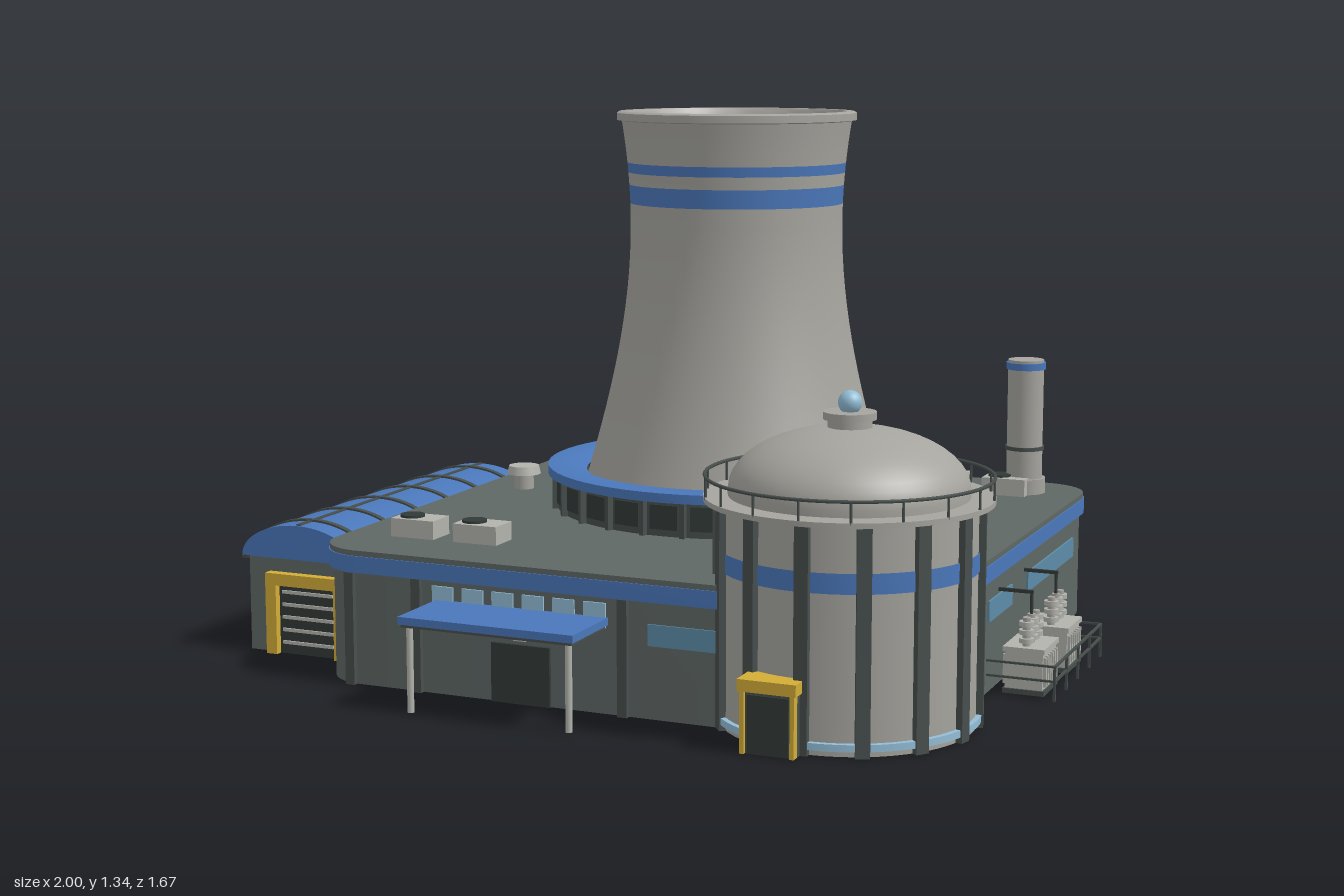
import * as THREE from 'three';
import { toCreasedNormals } from 'three/addons/utils/BufferGeometryUtils.js';

const mat = (name, color, extra = {}) => {
  const m = new THREE.MeshStandardMaterial({ color, ...extra });
  m.name = name;
  return m;
};

export function createModel() {
  const wall = mat('slate wall', 0x5f6866);
  const trim = mat('dark trim', 0x474f4d);
  const dark = mat('near black', 0x323a38);
  const concrete = mat('concrete', 0xa5a49e);
  const light = mat('light metal', 0xb3b3ad);
  const blue = mat('blue', 0x4a77ba);
  const glass = mat('window glass', 0x5c8ca8);
  const pale = mat('pale blue', 0x93bdd6);
  const yellow = mat('yellow', 0xd3ad37);

  const model = new THREE.Group();
  const group = (name, x = 0, y = 0, z = 0, parent = model) => {
    const g = new THREE.Group();
    g.name = name;
    g.position.set(x, y, z);
    parent.add(g);
    return g;
  };
  const add = (parent, name, geo, m, x = 0, y = 0, z = 0) => {
    const mesh = new THREE.Mesh(geo, m);
    mesh.name = name;
    mesh.position.set(x, y, z);
    parent.add(mesh);
    return mesh;
  };
  // box given by its extents
  const box = (p, name, m, x0, x1, y0, y1, z0, z1) =>
    add(p, name, new THREE.BoxGeometry(x1 - x0, y1 - y0, z1 - z0), m, (x0 + x1) / 2, (y0 + y1) / 2, (z0 + z1) / 2);
  // upright cylinder from y0 to y1
  const cyl = (p, name, m, r, y0, y1, x = 0, z = 0, seg = 24, rTop = r) =>
    add(p, name, new THREE.CylinderGeometry(rTop, r, y1 - y0, seg), m, x, (y0 + y1) / 2, z);
  const lathe = (p, name, m, pts, seg = 64) =>
    add(p, name, toCreasedNormals(new THREE.LatheGeometry(pts.map(a => new THREE.Vector2(a[0], a[1])), seg), 0.6), m);
  const tube = (p, name, m, r, ...pts) =>
    add(p, name, new THREE.TubeGeometry(new THREE.CatmullRomCurve3(pts.map(a => new THREE.Vector3(...a)), false, 'catmullrom', 0.2), 24, r, 12), m);
  const ring = (p, name, m, r, t, y) => {
    const g = new THREE.TorusGeometry(r, t, 6, 64);
    g.rotateX(Math.PI / 2);
    return add(p, name, g, m, 0, y, 0);
  };
  // slab with rounded corners
  const roundSlab = (p, name, m, inset, y0, y1) => {
    const x0 = -0.69 + inset, x1 = 0.84 - inset, a = -0.66 + inset, b = 0.84 - inset, r = 0.13 - inset;
    const s = new THREE.Shape();
    s.absarc(x1 - r, b - r, r, 0, Math.PI / 2);
    s.absarc(x0 + r, b - r, r, Math.PI / 2, Math.PI);
    s.absarc(x0 + r, a + r, r, Math.PI, Math.PI * 1.5);
    s.absarc(x1 - r, a + r, r, Math.PI * 1.5, Math.PI * 2);
    const g = new THREE.ExtrudeGeometry(s, { depth: y1 - y0, bevelEnabled: false, curveSegments: 10 });
    g.rotateX(-Math.PI / 2);
    return add(p, name, toCreasedNormals(g, 0.6), m, 0, y0, 0);
  };

  // Main building
  const hall = group('mainBuilding');
  roundSlab(hall, 'walls', wall, 0.012, 0, 0.275);
  roundSlab(hall, 'blueBand', blue, 0, 0.272, 0.312);
  roundSlab(hall, 'roof', wall, 0.003, 0.312, 0.325);
  for (let i = 0; i < 7; i++) {
    const x = -0.58 + i * 0.217;
    box(hall, 'backPilaster', trim, x - 0.014, x + 0.014, 0, 0.29, -0.842, -0.82);
    if (i < 6) box(hall, 'backWindow', glass, x + 0.035, x + 0.182, 0.17, 0.22, -0.832, -0.82);
  }
  for (const x of [-0.58, -0.4, 0.13]) box(hall, 'frontPilaster', trim, x - 0.012, x + 0.012, 0, 0.272, 0.64, 0.662);
  box(hall, 'frontWindow', glass, 0.19, 0.38, 0.17, 0.22, 0.64, 0.652);
  for (let i = 0; i < 6; i++) {
    const x = -0.36 + i * 0.078;
    box(hall, 'entranceWindow', pale, x, x + 0.055, 0.2, 0.258, 0.64, 0.653);
  }
  box(hall, 'rightWindow', glass, 0.82, 0.833, 0.17, 0.22, -0.06, 0.14);
  box(hall, 'rightWindow', glass, 0.82, 0.833, 0.17, 0.22, -0.65, -0.2);

  // Entrance with canopy
  const entrance = group('entrance');
  box(entrance, 'canopy', blue, -0.35, 0.09, 0.207, 0.225, 0.64, 0.83);
  box(entrance, 'canopyEdge', trim, -0.345, 0.085, 0.2, 0.207, 0.64, 0.825);
  for (const x of [-0.33, 0.07]) cyl(entrance, 'canopyPost', light, 0.008, 0, 0.2, x, 0.81, 10);
  box(entrance, 'door', dark, -0.205, -0.055, 0, 0.14, 0.64, 0.656);
  box(entrance, 'doorLamp', light, -0.145, -0.115, 0.15, 0.162, 0.64, 0.66);

  // Cooling tower: hyperbolic shell with painted bands
  const tower = group('coolingTower', 0.04, 0, -0.24);
  const radius = y => 0.27 * Math.sqrt(1 + ((y - 1.05) / 0.64) ** 2);
  const shell = (name, m, y0, y1, n) =>
    lathe(tower, name, m, Array.from({ length: n + 1 }, (_, i) => y0 + (y1 - y0) * i / n).map(y => [radius(y), y]));
  shell('lowerShell', concrete, 0.32, 1.105, 18);
  shell('wideBand', blue, 1.105, 1.152, 2);
  shell('middleShell', concrete, 1.152, 1.183, 2);
  shell('narrowBand', blue, 1.183, 1.208, 2);
  shell('upperShell', concrete, 1.208, 1.315, 4);
  lathe(tower, 'rim', concrete, [[0.29, 1.312], [0.304, 1.315], [0.304, 1.333], [0.298, 1.337], [0.278, 1.337], [0.272, 1.33], [0.262, 1.26], [0.258, 1.19]]);
  cyl(tower, 'shaftFloor', dark, 0.262, 1.19, 1.2, 0, 0, 48);

  // Air inlet ring around the tower foot
  lathe(tower, 'inletWall', trim, [[0.462, 0.32], [0.462, 0.415]]);
  lathe(tower, 'inletRoof', blue, [[0.415, 0.412], [0.485, 0.412], [0.485, 0.435], [0.415, 0.435], [0.385, 0.42]]);
  for (let i = 0; i < 28; i++) {
    const a = i * Math.PI / 14;
    const w = group('inletBay', 0, 0, 0, tower);
    w.rotation.y = a;
    box(w, 'inletOpening', dark, -0.036, 0.036, 0.342, 0.402, 0.455, 0.466);
    box(w, 'inletPost', trim, 0.045, 0.058, 0.325, 0.412, 0.45, 0.474);
  }

  // Reactor building with dome
  const reactor = group('reactor', 0.6, 0, 0.47);
  cyl(reactor, 'drum', concrete, 0.29, 0, 0.51, 0, 0, 64);
  lathe(reactor, 'drumBand', blue, [[0.293, 0.355], [0.293, 0.4]]);
  lathe(reactor, 'baseRing', pale, [[0.29, 0.014], [0.302, 0.014], [0.302, 0.03], [0.29, 0.03]]);
  for (let i = 0; i < 14; i++) {
    const b = group('buttress', 0, 0, 0, reactor);
    b.rotation.y = i * Math.PI / 7;
    box(b, 'buttressPost', trim, -0.016, 0.016, 0, 0.51, 0.27, 0.305);
  }
  lathe(reactor, 'platform', concrete, [[0.27, 0.503], [0.325, 0.503], [0.325, 0.515], [0.26, 0.515]]);
  const dome = Array.from({ length: 13 }, (_, i) => i * Math.PI / 24);
  lathe(reactor, 'dome', concrete, [[0.27, 0.51], ...dome.map(a => [0.27 * Math.cos(a), 0.53 + 0.14 * Math.sin(a)])]);
  cyl(reactor, 'domeCollar', concrete, 0.05, 0.655, 0.69, 0, 0, 32);
  cyl(reactor, 'domeCap', concrete, 0.06, 0.685, 0.702, 0, 0, 32);
  add(reactor, 'beacon', new THREE.SphereGeometry(0.027, 24, 16), pale, 0, 0.722, 0);
  ring(reactor, 'handrail', trim, 0.322, 0.004, 0.56);
  for (let i = 0; i < 18; i++) {
    const a = i * Math.PI / 9;
    cyl(reactor, 'railPost', trim, 0.003, 0.51, 0.56, 0.322 * Math.sin(a), 0.322 * Math.cos(a), 6);
  }
  const porch = group('reactorPorch');
  box(porch, 'porchBody', trim, 0.475, 0.6, 0, 0.15, 0.7, 0.8);
  box(porch, 'porchDoor', dark, 0.49, 0.585, 0, 0.13, 0.795, 0.804);
  box(porch, 'porchLintel', yellow, 0.47, 0.605, 0.138, 0.165, 0.73, 0.813);
  for (const x of [0.475, 0.59]) box(porch, 'porchJamb', yellow, x, x + 0.01, 0, 0.14, 0.79, 0.81);

  // Pipes linking tower and reactor
  const pipes = group('pipes');
  tube(pipes, 'steamPipe', concrete, 0.024, [0.32, 0.46, 0], [0.4, 0.46, 0.06], [0.47, 0.46, 0.12], [0.49, 0.46, 0.22]);
  tube(pipes, 'returnPipe', concrete, 0.022, [0.34, 0.39, 0.06], [0.43, 0.39, 0.1], [0.48, 0.39, 0.15], [0.5, 0.39, 0.22]);
  for (const [x, z] of [[0.48, 0.08], [0.48, 0.13], [0.39, 0.06]]) cyl(pipes, 'pipeSupport', trim, 0.006, 0.32, 0.46, x, z, 8);
  box(pipes, 'pipeBracket', trim, 0.477, 0.483, 0.44, 0.452, 0, 0.13);

  // Side garage with barrel roof
  const garage = group('garage', -0.835, 0, 0);
  box(garage, 'garageWalls', wall, -0.15, 0.16, 0, 0.25, -0.465, 0.465);
  const vault = (name, m, a, b, depth, z) => {
    const s = new THREE.Shape();
    s.moveTo(a, 0);
    s.absellipse(0, 0, a, b, 0, Math.PI, false);
    const g = new THREE.ExtrudeGeometry(s, { depth, bevelEnabled: false, curveSegments: 24 });
    add(garage, name, toCreasedNormals(g, 0.6), m, 0, 0.242, z - depth / 2);
  };
  vault('barrelRoof', blue, 0.162, 0.086, 0.96, 0);
  for (let i = 0; i < 6; i++) vault('roofRib', trim, 0.165, 0.091, 0.016, -0.41 + i * 0.164);
  box(garage, 'roofRidge', trim, -0.006, 0.006, 0.32, 0.331, -0.475, 0.475);
  box(garage, 'eave', trim, -0.163, -0.14, 0.235, 0.243, -0.48, 0.48);
  box(garage, 'shutterBack', dark, -0.06, 0.105, 0, 0.175, 0.46, 0.472);
  for (let i = 0; i < 5; i++) box(garage, 'shutterSlat', light, -0.05, 0.095, 0.025 + i * 0.032, 0.033 + i * 0.032, 0.465, 0.477);
  for (const x of [-0.09, 0.105]) box(garage, 'doorJamb', yellow, x, x + 0.03, 0, 0.205, 0.455, 0.49);
  box(garage, 'doorLintel', yellow, -0.09, 0.135, 0.175, 0.205, 0.455, 0.49);
  for (const z of [-0.28, 0, 0.28]) {
    box(garage, 'ventPanel', dark, -0.157, -0.145, 0.085, 0.175, z - 0.07, z + 0.07);
    for (let i = 0; i < 4; i++) box(garage, 'ventSlat', trim, -0.164, -0.15, 0.092 + i * 0.022, 0.102 + i * 0.022, z - 0.07, z + 0.07);
  }

  // Exhaust stack
  const stack = group('stack', 0.685, 0, -0.69);
  cyl(stack, 'stackBase', concrete, 0.056, 0.32, 0.365, 0, 0, 32);
  cyl(stack, 'stackPipe', concrete, 0.047, 0.32, 0.68, 0, 0, 32);
  cyl(stack, 'stackCollar', trim, 0.051, 0.44, 0.45, 0, 0, 32);
  cyl(stack, 'stackBand', blue, 0.052, 0.655, 0.673, 0, 0, 32);

  // Rooftop air units and vent
  for (const [x, z] of [[0.48, -0.65], [0.65, -0.65], [-0.51, 0.44], [-0.34, 0.44]]) {
    const unit = group('airUnit', x, 0.325, z);
    box(unit, 'unitBody', light, -0.058, 0.058, 0, 0.045, -0.04, 0.04);
    cyl(unit, 'unitFan', dark, 0.03, 0.045, 0.051, -0.02, 0, 20);
  }
  const vent = group('roofVent', -0.56, 0, -0.21);
  cyl(vent, 'ventStem', concrete, 0.026, 0.32, 0.37, 0, 0, 20);
  cyl(vent, 'ventCap', light, 0.045, 0.365, 0.387, 0, 0, 24, 0.04);

  // Transformers in a railed yard
  const yard = group('transformerYard');
  for (const z0 of [0.053, -0.172]) {
    const t = group('transformer', 0.91, 0, z0, yard);
    box(t, 'tank', light, -0.045, 0.045, 0.01, 0.1, -0.06, 0.06);
    box(t, 'tankLid', light, -0.05, 0.05, 0.1, 0.112, -0.067, 0.067);
    box(t, 'tankFoot', trim, -0.05, 0.05, 0, 0.012, -0.065, 0.065);
    for (let i = 0; i < 6; i++) box(t, 'coolingFin', light, -0.052, 0.052, 0.02, 0.09, -0.054 + i * 0.02, -0.046 + i * 0.02);
    for (const z of [-0.04, 0, 0.04]) {
      cyl(t, 'insulator', concrete, 0.01, 0.11, 0.18, 0, z, 12);
      for (let i = 0; i < 3; i++) cyl(t, 'insulatorDisc', light, 0.018, 0.12 + i * 0.02, 0.131 + i * 0.02, 0, z, 16);
    }
    cyl(t, 'lead', dark, 0.004, 0.17, 0.235, 0, 0, 8);
    box(t, 'leadArm', dark, -0.08, 0.004, 0.228, 0.236, -0.004, 0.004);
  }
  for (const y of [0.045, 0.08]) {
    box(yard, 'yardRail', trim, 0.99, 0.996, y, y + 0.005, -0.3, 0.15);
    for (const z of [-0.3, 0.146]) box(yard, 'yardRail', trim, 0.83, 0.996, y, y + 0.005, z, z + 0.005);
  }
  for (const z of [-0.3, -0.187, -0.075, 0.034, 0.145]) box(yard, 'yardPost', trim, 0.99, 0.996, 0, 0.085, z, z + 0.006);

  return model;
}
